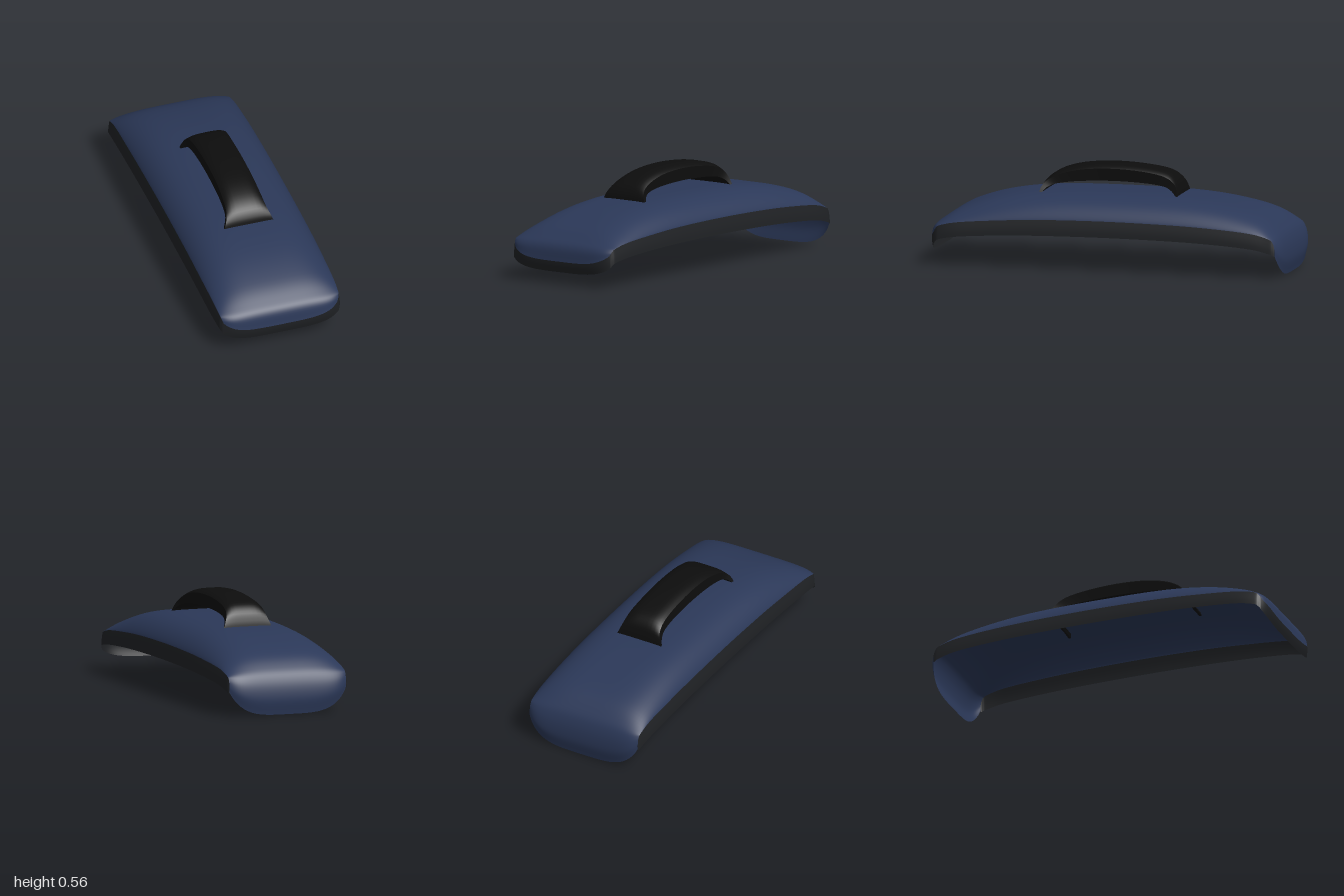
import * as THREE from 'three';
import { toCreasedNormals } from 'three/addons/utils/BufferGeometryUtils.js';

const paint = (color) => new THREE.MeshStandardMaterial({ color, side: THREE.DoubleSide });

// Surface through rows of points; it faces (row direction) x (column direction)
function loft(rows) {
  const n = rows[0].length, index = [];
  for (let j = 0; j < rows.length - 1; j++) {
    for (let i = 0; i < n - 1; i++) {
      const a = j * n + i, b = a + 1, d = a + n, c = d + 1;
      index.push(a, d, b, b, d, c);
    }
  }
  const geo = new THREE.BufferGeometry();
  geo.setAttribute('position', new THREE.Float32BufferAttribute(rows.flat(2), 3));
  geo.setIndex(index);
  geo.computeVertexNormals();
  return geo;
}

// Smoothly resample a table of stations, three columns per curve
function resample(table, steps) {
  const curves = [0, 3, 6].map((k) => new THREE.CatmullRomCurve3(
    table.map((s) => new THREE.Vector3(s[k] ?? 0, s[k + 1] ?? 0, s[k + 2] ?? 0)), false, 'catmullrom', 0.5));
  const out = [];
  for (let j = 0; j <= steps; j++) out.push(curves.flatMap((c) => c.getPoint(j / steps).toArray()));
  return out;
}

// z, centre height, edge height, edge half width, band bottom, band half width, corner set-back
const SHELL = [
  [-0.985, 0.003, 0.14, 0.343, 0.13, 0.343, 0.02],
  [-1.0, 0.09, 0.17, 0.343, 0.13, 0.346, 0.035],
  [-0.985, 0.185, 0.205, 0.343, 0.135, 0.35, 0.03],
  [-0.94, 0.255, 0.225, 0.345, 0.145, 0.354, 0.01],
  [-0.83, 0.328, 0.25, 0.347, 0.167, 0.361, 0],
  [-0.63, 0.378, 0.268, 0.35, 0.183, 0.364, 0],
  [-0.37, 0.406, 0.28, 0.351, 0.193, 0.365, 0],
  [0, 0.413, 0.285, 0.351, 0.197, 0.365, 0],
  [0.37, 0.405, 0.279, 0.351, 0.193, 0.365, 0],
  [0.63, 0.372, 0.264, 0.35, 0.183, 0.364, 0],
  [0.83, 0.312, 0.246, 0.347, 0.168, 0.361, 0],
  [0.94, 0.25, 0.225, 0.343, 0.15, 0.352, 0.01],
  [0.985, 0.205, 0.207, 0.337, 0.135, 0.343, 0.03],
  [1.0, 0.13, 0.19, 0.33, 0.122, 0.336, 0.035],
];

// z and height of the outer arch, half width, z and height of the inner arch
const HANDLE = [
  [-0.365, 0.392, 0.147, -0.352, 0.388],
  [-0.357, 0.435, 0.13, -0.342, 0.418],
  [-0.335, 0.487, 0.114, -0.3, 0.449],
  [-0.28, 0.527, 0.107, -0.24, 0.463],
  [-0.16, 0.55, 0.103, -0.14, 0.471],
  [0.01, 0.56, 0.102, 0.01, 0.475],
  [0.18, 0.55, 0.103, 0.17, 0.469],
  [0.3, 0.522, 0.107, 0.28, 0.458],
  [0.375, 0.482, 0.114, 0.35, 0.443],
  [0.41, 0.436, 0.13, 0.39, 0.42],
  [0.422, 0.392, 0.147, 0.407, 0.388],
];

const crown = (t) => Math.pow(Math.max(0, 1 - t ** 4), 0.8);
const spread = (n) => Array.from({ length: n + 1 }, (_, i) => Math.sin((i / n - 0.5) * Math.PI));

export function createModel() {
  const group = new THREE.Group();
  const add = (name, geo, color) => {
    const mesh = new THREE.Mesh(geo, paint(color));
    mesh.name = name;
    group.add(mesh);
  };

  // Arched cover, curling down at both ends
  const stations = resample(SHELL, 78);
  const across = spread(36);
  const cover = stations.map(([z, top, edge, w, , , back]) => across.map((t) =>
    [w * t, edge + (top - edge) * crown(t), z - Math.sign(z) * back * t ** 8]));
  add('cover', loft(cover), 0x2b3858);

  // Edge band: along one side, across the front and back along the other
  const lastCol = across.length - 1;
  const front = stations[stations.length - 1];
  const sideBottom = (s, sign) =>
    [sign * s[5], s[4], s[0] - Math.sign(s[0]) * s[6]];
  const upper = [
    ...cover.map((row) => row[0]),
    ...cover[cover.length - 1].slice(1, -1),
    ...cover.map((row) => row[lastCol]).reverse(),
  ];
  const lower = [
    ...stations.map((s) => sideBottom(s, -1)),
    ...across.slice(1, -1).map((t) =>
      [front[5] * t, front[4] + (0.07 - front[4]) * crown(t), front[0] - 0.012 * (1 - t ** 8) - front[6] * t ** 8]),
    ...stations.map((s) => sideBottom(s, 1)).reverse(),
  ];
  const band = [0, 0.25, 0.5, 0.75, 1].map((v) => {
    const bow = Math.sin(v * Math.PI / 2);
    return upper.map((p, i) => {
      const q = lower[i];
      const outward = q[2] < p[2] ? 1 - Math.cos(v * Math.PI / 2) : bow;
      return [p[0] + (q[0] - p[0]) * bow, p[1] + (q[1] - p[1]) * v, p[2] + (q[2] - p[2]) * outward];
    });
  });
  add('edgeBand', loft(band), 0x1f2124);

  // Solid arched handle with flared feet and a crowned top
  const hoops = resample(HANDLE, 40).map(([zo, yo, w, zi, yi]) => {
    const ts = spread(12);
    const drop = 0.008 + 0.014 * THREE.MathUtils.smoothstep(yo, 0.42, 0.54);
    const outer = ts.map((t) => [w * t, yo - drop * t ** 4, zo]);
    const inner = ts.map((t) => [w * t, yi - 0.004 * t * t, zi]).reverse();
    return [...outer, ...inner, outer[0]];
  });
  const cap = (hoop) => {
    const mid = [0, (hoop[6][1] + hoop[19][1]) / 2, (hoop[6][2] + hoop[19][2]) / 2];
    return hoop.map(() => mid);
  };
  const handle = loft([cap(hoops[0]), ...hoops, cap(hoops[hoops.length - 1])]);
  add('handle', toCreasedNormals(handle, 0.7), 0x0d0d0d);

  return group;
}
